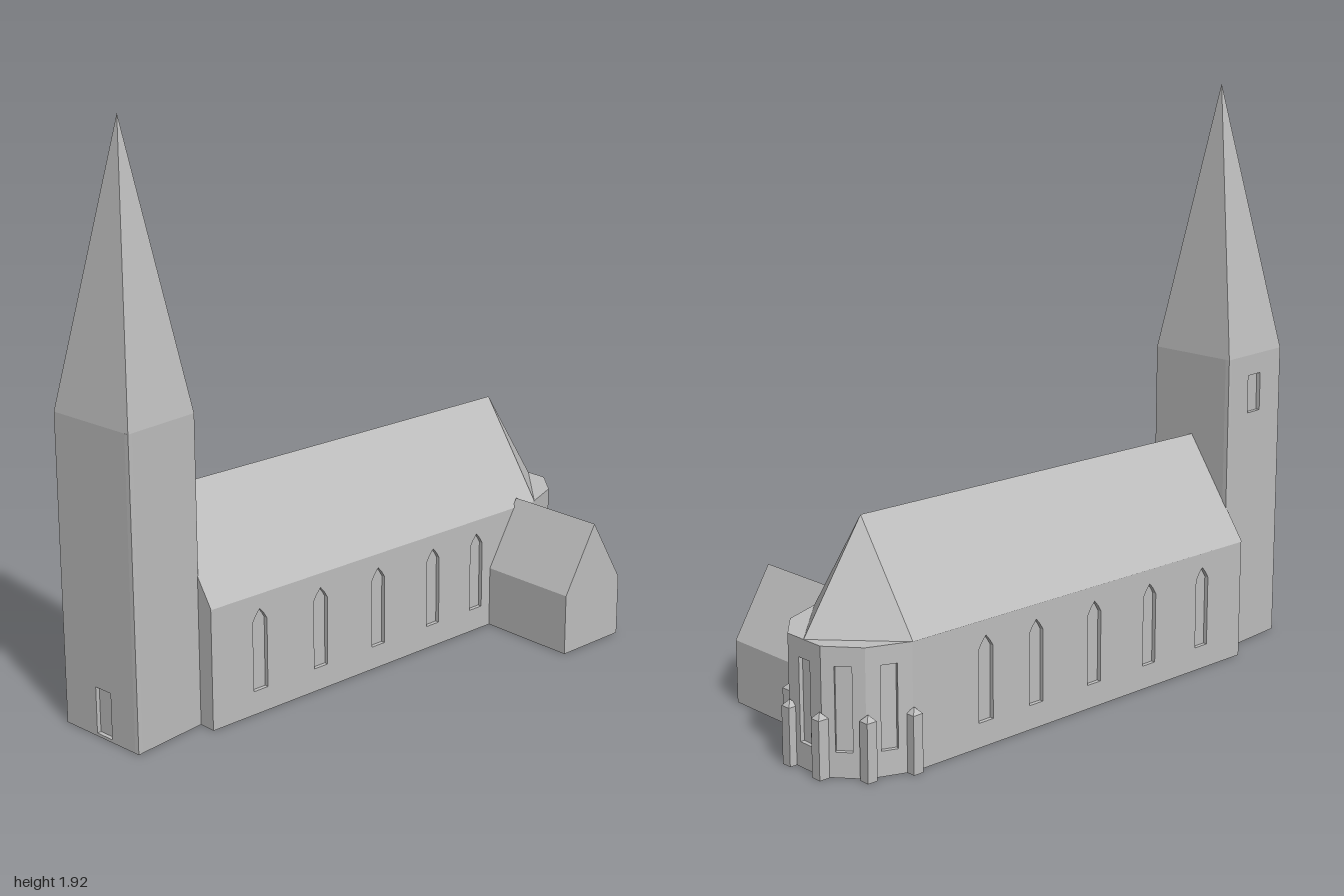
import * as THREE from 'three';

const stone = new THREE.MeshStandardMaterial({ color: 0xbebebe });
stone.name = 'grey stone';
const DEPTH = 0.015; // window recess

function add(parent, name, geometry) {
  const mesh = new THREE.Mesh(geometry, stone);
  mesh.name = name;
  parent.add(mesh);
  return mesh;
}

// Flat faces, each a convex polygon listed counter-clockwise from outside
function faces(polygons) {
  const pos = [];
  for (const p of polygons) {
    for (let i = 1; i < p.length - 1; i++) pos.push(...p[0], ...p[i], ...p[i + 1]);
  }
  const g = new THREE.BufferGeometry();
  g.setAttribute('position', new THREE.Float32BufferAttribute(pos, 3));
  g.computeVertexNormals();
  return g;
}

const outline = (pts) => new THREE.Shape(pts.map(([x, y]) => new THREE.Vector2(x, y)));

// Opening outline: rectangular, or with a pointed head
function opening({ at, width, bottom, top, pointed }) {
  const l = at - width / 2, r = at + width / 2;
  const pts = pointed
    ? [[l, bottom], [l, top - 0.04], [l + 0.012, top - 0.02], [at, top], [r - 0.012, top - 0.02], [r, top - 0.04], [r, bottom]]
    : [[l, bottom], [l, top], [r, top], [r, bottom]];
  return outline(pts);
}

// Wall between two ground points with recessed openings
function wall(parent, name, [x0, z0], [x1, z1], height, openings = []) {
  const dx = x1 - x0, dz = z1 - z0, len = Math.hypot(dx, dz);
  const rect = [[0, 0], [len, 0], [len, height], [0, height]];
  const shape = outline(rect);
  shape.holes = openings.map(opening);
  const panel = new THREE.Group();
  panel.name = name;
  const front = new THREE.ExtrudeGeometry(shape, { depth: DEPTH, bevelEnabled: false });
  add(panel, name + 'Face', front.translate(0, 0, -DEPTH));
  if (openings.length) {
    const back = new THREE.ShapeGeometry(outline(rect));
    add(panel, name + 'RecessBack', back.translate(0, 0, 0.001 - DEPTH));
  }
  panel.position.set(x0, 0, z0);
  panel.rotation.y = Math.atan2(-dz, dx);
  parent.add(panel);
}

function floor(parent, name, pts) {
  add(parent, name, new THREE.ShapeGeometry(outline(pts)).rotateX(Math.PI / 2));
}

export function createModel() {
  const church = new THREE.Group();
  church.name = 'church';

  // Nave and apse walls
  const EAVE = 0.405, RIDGE = 0.74, MID = -0.167, WEST = -0.705, EAST = 0.755;
  const plan = [[WEST, 0.062], [EAST, 0.062], [0.89, 0.01], [0.975, -0.09],
    [0.975, -0.245], [0.89, -0.345], [EAST, -0.397], [WEST, -0.397]];
  const windowXs = [-0.51, -0.255, 0, 0.255, 0.465];
  const naveWindows = (toOffset) => windowXs.map((x) => (
    { at: toOffset(x), width: 0.058, bottom: 0.08, top: 0.355, pointed: true }));
  const nave = new THREE.Group();
  nave.name = 'nave';
  church.add(nave);
  wall(nave, 'frontWall', plan[0], plan[1], EAVE, naveWindows((x) => x - WEST));
  wall(nave, 'backWall', plan[6], plan[7], EAVE, naveWindows((x) => EAST - x));
  wall(nave, 'westWall', plan[7], plan[0], EAVE);
  for (let i = 1; i < 6; i++) {
    const [a, b] = [plan[i], plan[i + 1]];
    const len = Math.hypot(b[0] - a[0], b[1] - a[1]);
    wall(nave, 'apseWall' + i, a, b, EAVE, [{ at: len / 2, width: 0.052, bottom: 0.08, top: 0.345 }]);
  }
  floor(nave, 'naveFloor', plan);

  // Gabled roof with a two-sided hip, and the flat ledge round the apse
  const fw = [WEST, EAVE, 0.064], fe = [EAST, EAVE, 0.064];
  const bw = [WEST, EAVE, -0.4], be = [EAST, EAVE, -0.4];
  const rw = [WEST, RIDGE, MID], re = [EAST, RIDGE, MID], tip = [0.975, EAVE, MID];
  add(nave, 'naveRoof', faces([
    [fw, fe, re, rw], [be, bw, rw, re], [bw, fw, rw], [fe, tip, re], [tip, be, re],
  ]));
  add(nave, 'apseLedge', faces([plan.slice(1, 7).map(([x, z]) => [x, EAVE, z])]));

  // Buttresses at the apse corners
  const buttressSpots = [[0.893, 0.01], [0.982, -0.103], [0.982, -0.245], [0.893, -0.358], [0.755, -0.402]];
  for (const [x, z] of buttressSpots) {
    const buttress = new THREE.Group();
    buttress.name = 'buttress';
    add(buttress, 'buttressShaft', new THREE.BoxGeometry(0.036, 0.185, 0.036).translate(0, 0.0925, 0));
    const cap = new THREE.ConeGeometry(0.0255, 0.02, 4, 1, true).toNonIndexed();
    cap.computeVertexNormals();
    add(buttress, 'buttressCap', cap.rotateY(Math.PI / 4).translate(0, 0.195, 0));
    buttress.position.set(x, 0, z);
    church.add(buttress);
  }

  // Tower with a slightly skewed plan, and its spire
  const tower = new THREE.Group();
  tower.name = 'tower';
  church.add(tower);
  const TOP = 1.02, apex = [-0.845, 1.92, -0.142];
  const base = [[-0.975, 0.037], [-0.702, 0], [-0.702, -0.328], [-1, -0.3]];
  const towerOpenings = [[], [],
    [{ at: 0.148, width: 0.07, bottom: 0.82, top: 0.95 }],
    [{ at: 0.18, width: 0.07, bottom: 0.01, top: 0.165 }]];
  base.forEach((p, i) => {
    wall(tower, 'towerWall' + i, p, base[(i + 1) % 4], TOP, towerOpenings[i]);
  });
  floor(tower, 'towerFloor', base);
  const rim = base.map(([x, z]) => [x, TOP, z]);
  add(tower, 'spire', faces(rim.map((p, i) => [p, rim[(i + 1) % 4], apex])));

  // Gabled side annex
  const gable = outline([[0.535, 0], [0.805, 0], [0.805, 0.21], [0.67, 0.435], [0.535, 0.21]]);
  const annex = new THREE.ExtrudeGeometry(gable, { depth: 0.36, bevelEnabled: false });
  add(church, 'sideAnnex', annex.translate(0, 0, 0.055));

  return church;
}
